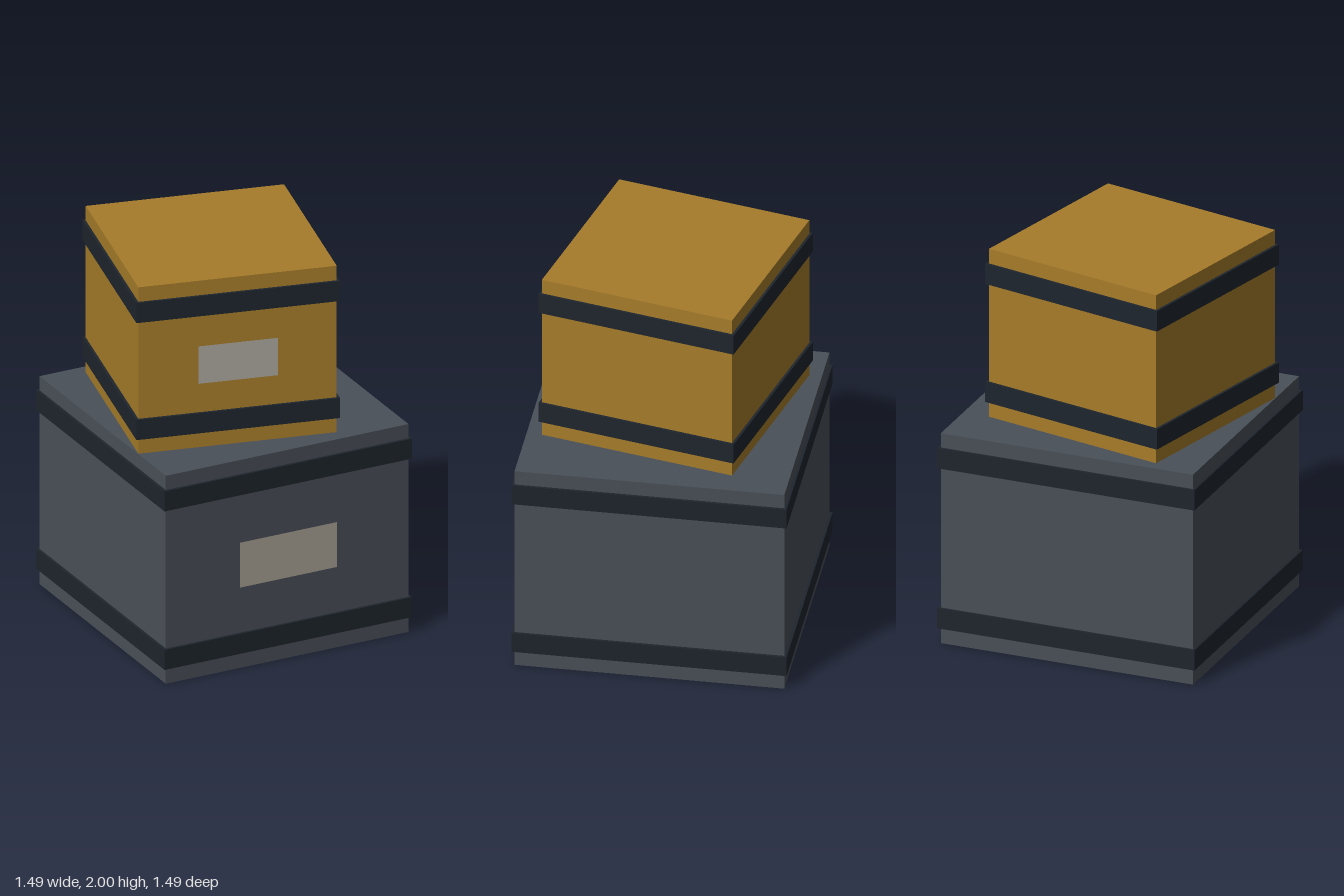
import * as THREE from 'three';

const STRAP_HEIGHT = 0.107;
const STRAP_DEPTH = 0.0133;

function box(name, size, height, y, material) {
  const mesh = new THREE.Mesh(new THREE.BoxGeometry(size, height, size), material);
  mesh.name = name;
  mesh.position.y = y;
  return mesh;
}

// A square crate with two straps around it and a label on its front
function createCrate({ name, size, height, color, labelColor, label, straps }) {
  const crate = new THREE.Group();
  crate.name = name;

  const bodyMaterial = new THREE.MeshStandardMaterial({ color });
  const strapMaterial = new THREE.MeshStandardMaterial({ color: 0x1e252d });
  const labelMaterial = new THREE.MeshStandardMaterial({ color: labelColor, side: THREE.DoubleSide });

  crate.add(box('crateBody', size, height, height / 2, bodyMaterial));

  const strapNames = ['lowerStrap', 'upperStrap'];
  straps.forEach((y, i) => {
    crate.add(box(strapNames[i], size + 2 * STRAP_DEPTH, STRAP_HEIGHT, y, strapMaterial));
  });

  const plate = new THREE.Mesh(new THREE.PlaneGeometry(...label), labelMaterial);
  plate.name = 'frontLabel';
  plate.position.set(0, height / 2, size / 2 + STRAP_DEPTH);
  crate.add(plate);
  return crate;
}

export function createModel() {
  const model = new THREE.Group();
  model.name = 'stackedCrates';

  // Large crate on the ground, turned slightly
  const lower = createCrate({
    name: 'lowerCrate', size: 1.333, height: 1.111,
    color: 0x4a5058, labelColor: 0xa8a396, label: [0.533, 0.24], straps: [0.135, 0.982],
  });
  lower.rotation.y = 0.1;

  // Smaller crate on top, turned the other way
  const upper = createCrate({
    name: 'upperCrate', size: 1, height: 0.889,
    color: 0xa67c2a, labelColor: 0xaca89e, label: [0.4, 0.2], straps: [0.133, 0.758],
  });
  upper.position.set(-0.067, 1.111, 0);
  upper.rotation.y = -0.12;

  model.add(lower, upper);
  return model;
}
